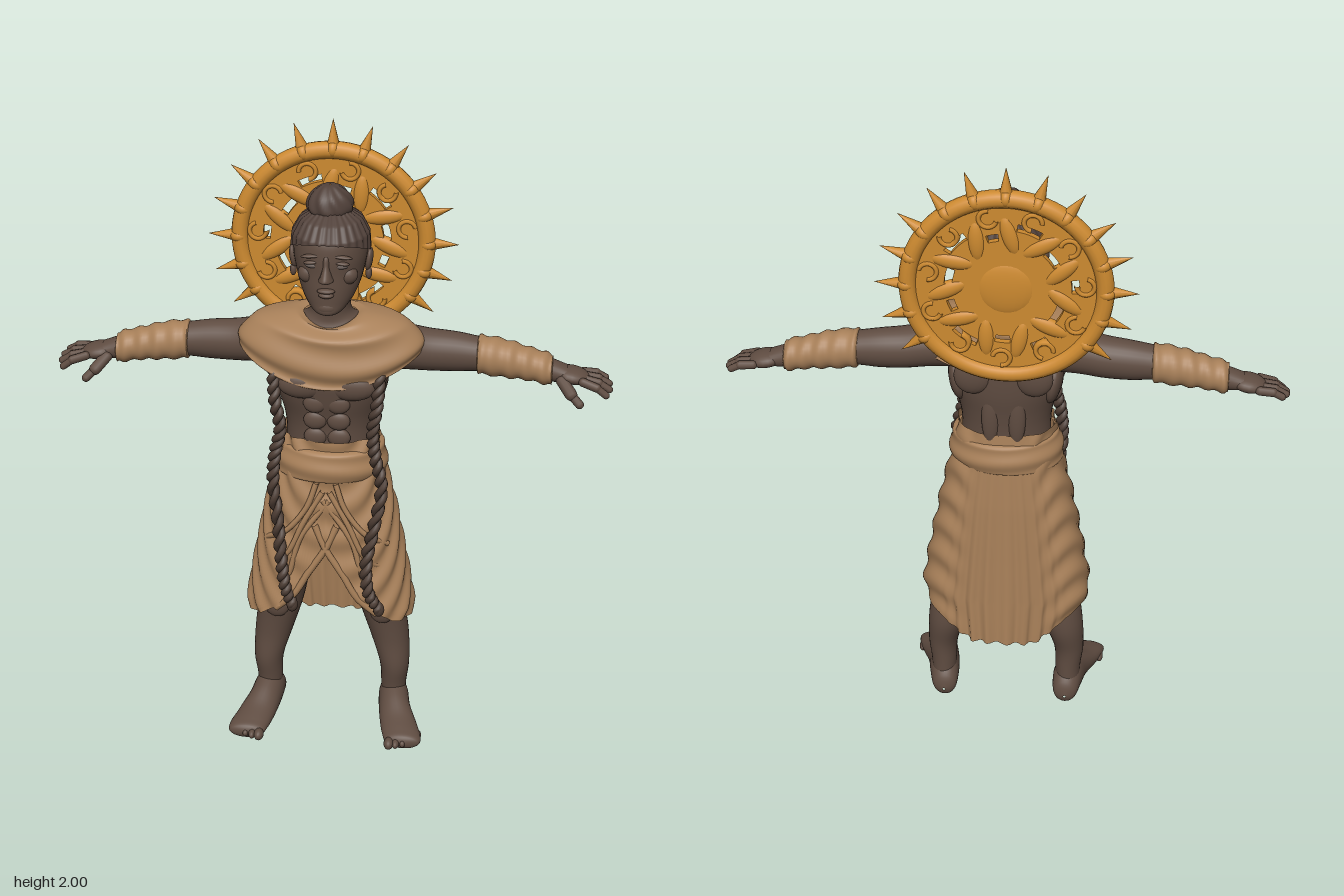
import * as THREE from 'three';

const mat = (name, color, side = THREE.FrontSide) => {
  const m = new THREE.MeshStandardMaterial({ color, side });
  m.name = name;
  return m;
};
const skin = mat('brown skin', 0x5f4c41);
const hair = mat('dark hair', 0x51413a);
const rope = mat('dark rope', 0x4c3c33);
const eye = mat('eye grey', 0x6e625c);
const cloth = mat('tan cloth', 0xa88059, THREE.DoubleSide);
const gold = mat('gold', 0xcd8a30);

const V = (p) => new THREE.Vector3(...p);
const TAU = Math.PI * 2;
const pw = (s, e) => Math.sign(s) * Math.abs(s) ** e;

function add(parent, name, geo, material) {
  const m = new THREE.Mesh(geo, material);
  m.name = name;
  parent.add(m);
  return m;
}

// Closed-around surface: u runs round, v runs along
function surface(fn, nu, nv) {
  const pos = [], idx = [];
  for (let j = 0; j <= nv; j++)
    for (let i = 0; i < nu; i++) pos.push(...fn((i / nu) * TAU, j / nv));
  for (let j = 0; j < nv; j++)
    for (let i = 0; i < nu; i++) {
      const a = j * nu + i, b = j * nu + (i + 1) % nu;
      idx.push(a, b, b + nu, a, b + nu, a + nu);
    }
  const g = new THREE.BufferGeometry();
  g.setAttribute('position', new THREE.Float32BufferAttribute(pos, 3));
  g.setIndex(idx);
  g.computeVertexNormals();
  return g;
}

// Smooth value between rows, t in 0..1
function spline(rows, t) {
  const n = rows.length - 1, i = Math.min(Math.floor(t * n), n - 1), f = t * n - i;
  const r = (k) => rows[Math.max(0, Math.min(n, k))];
  return rows[0].map((_, c) => {
    const [a, b, d, e] = [r(i - 1)[c], r(i)[c], r(i + 1)[c], r(i + 2)[c]];
    return b + 0.5 * f * (d - a + f * (2 * a - 5 * b + 4 * d - e + f * (3 * (b - d) + e - a)));
  });
}

// Linear lookup by the first column
function lookup(rows, key) {
  let i = 0;
  while (i < rows.length - 2 && key > rows[i + 1][0]) i++;
  const f = THREE.MathUtils.clamp((key - rows[i][0]) / (rows[i + 1][0] - rows[i][0]), 0, 1);
  return rows[i].map((v, c) => v + (rows[i + 1][c] - v) * f);
}

// Elliptical cross-sections along axis k; row = [pos, c1, c2, r1, r2] in cyclic axis order
function loft(k, rows, ripple = () => 0, nu = 28, nv = 36) {
  return surface((a, v) => {
    const [s, c1, c2, r1, r2] = spline(rows, v), q = ripple(a, v), p = [0, 0, 0];
    p[k] = s;
    p[(k + 1) % 3] = c1 + Math.max(0.001, r1 + q) * Math.cos(a);
    p[(k + 2) % 3] = c2 + Math.max(0.001, r2 + q) * Math.sin(a);
    p[1] = Math.max(p[1], 0.002);
    return p;
  }, nu, nv);
}

function ball(parent, name, p, r, material, rotZ = 0) {
  const m = add(parent, name, new THREE.SphereGeometry(1, 20, 14), material);
  m.position.set(...p);
  m.scale.set(...r);
  m.rotation.z = rotZ;
  return m;
}

function limb(parent, name, a, b, r, material) {
  const d = V(b).sub(V(a));
  const m = add(parent, name, new THREE.CapsuleGeometry(r, d.length(), 5, 10), material);
  m.position.copy(V(a)).addScaledVector(d, 0.5);
  m.quaternion.setFromUnitVectors(new THREE.Vector3(0, 1, 0), d.normalize());
}

const tube = (pts, r, n = 40) => new THREE.TubeGeometry(new THREE.CatmullRomCurve3(pts.map(V)), n, r, 8);

function buildArm() {
  const g = new THREE.Group();
  add(g, 'arm', loft(0, [[.1, 1.33, -.03, .07, .07], [.22, 1.33, -.04, .07, .07], [.3, 1.32, -.05, .066, .062],
    [.38, 1.315, -.055, .062, .056], [.46, 1.31, -.055, .053, .05], [.56, 1.295, -.055, .05, .048],
    [.67, 1.27, -.055, .036, .038], [.72, 1.262, -.055, .024, .036]]), skin);
  add(g, 'forearmWrap', loft(0, [[.445, 1.312, -.055, .05, .05], [.455, 1.31, -.055, .06, .058], [.53, 1.3, -.055, .059, .056],
    [.6, 1.287, -.055, .052, .051], [.665, 1.272, -.055, .048, .05], [.675, 1.27, -.055, .034, .036]],
    (a, v) => .003 * Math.sin(v * 44 + Math.sin(a) * 1.5), 28, 64), cloth);
  ball(g, 'palm', [.735, 1.257, -.055], [.055, .025, .048], skin, -.15);
  for (let i = 0; i < 4; i++) {
    const z = -.093 + i * .026, len = [.85, 1, 1.02, .9][i];
    const knuckle = [.768, 1.252, z], mid = [.768 + .048 * len, 1.25 - i * .004, z * 1.1 + .008];
    limb(g, 'finger', knuckle, mid, .0135, skin);
    limb(g, 'fingertip', mid, [mid[0] + .032 * len, 1.236 - i * .007, mid[2]], .0115, skin);
  }
  limb(g, 'thumb', [.705, 1.25, -.025], [.735, 1.22, .01], .019, skin);
  limb(g, 'thumbTip', [.735, 1.22, .01], [.762, 1.195, .024], .0135, skin);
  return g;
}

function buildLeg() {
  const g = new THREE.Group();
  add(g, 'leg', loft(1, [[.04, -.04, .205, .045, .038], [.12, -.035, .205, .048, .041], [.2, -.03, .207, .057, .048],
    [.3, -.04, .19, .067, .062], [.42, -.03, .165, .073, .073], [.55, -.01, .145, .085, .08], [.8, 0, .1, .1, .09]]), skin);
  ball(g, 'kneecap', [.17, .43, .035], [.042, .05, .02], skin);
  add(g, 'foot', loft(2, [[-.105, .2, .035, .004, .004], [-.09, .2, .045, .036, .04], [-.04, .205, .065, .048, .065],
    [.03, .215, .055, .052, .058], [.1, .235, .038, .06, .04], [.155, .25, .03, .062, .029],
    [.185, .255, .025, .052, .022], [.195, .255, .023, .004, .004]]), skin);
  for (let i = 0; i < 5; i++)
    ball(g, 'toe', [.212 + i * .022, .023, .192 - i * i * .0035], [i ? .012 : .016, i ? .015 : .019, .024], skin);
  return g;
}

function buildHead(parent) {
  const g = new THREE.Group();
  g.name = 'head';
  parent.add(g);
  // [y, z centre, x centre, z radius, x radius]
  const rows = [[1.478, .075, 0, .008, .006], [1.487, .066, 0, .044, .04], [1.52, .04, 0, .072, .07], [1.56, .018, 0, .095, .09],
    [1.61, .002, 0, .11, .104], [1.66, -.003, 0, .117, .112], [1.71, -.007, 0, .114, .108],
    [1.75, -.014, 0, .09, .085], [1.775, -.018, 0, .045, .045], [1.78, -.018, 0, .002, .002]];
  add(g, 'skull', loft(1, rows, undefined, 36, 48), skin);
  // Combed hair above the hairline
  add(g, 'hair', surface((a, v) => {
    const f = Math.cos(a), base = f > 0 ? 1.655 + .05 * f : 1.655 + .115 * f;
    const y = base + (1.779 - base) * v, [, cz, , rz, rx] = lookup(rows, y);
    const q = .007 + .0025 * Math.sin(a * 26);
    return [(rx + q) * Math.sin(a), y + .005, cz + (rz + q) * f];
  }, 156, 24), hair);
  const bun = add(g, 'topKnot', loft(1, [[1.755, -.024, -.005, .04, .04], [1.768, -.024, -.005, .062, .064], [1.79, -.025, -.005, .066, .07],
    [1.82, -.025, -.005, .056, .056], [1.845, -.025, -.005, .026, .026], [1.848, -.025, -.005, .002, .002]],
    (a, v) => .003 * Math.sin(a * 9 + v * 9) * Math.sin(v * Math.PI), 64, 24), hair);
  bun.position.y = .002;
  const tie = add(g, 'hairTie', new THREE.TorusGeometry(.05, .011, 8, 28), hair);
  tie.position.set(-.004, 1.766, -.024);
  tie.rotation.x = Math.PI / 2;
  // Face
  add(g, 'nose', loft(1, [[1.594, .112, 0, .004, .004], [1.6, .116, 0, .028, .022], [1.612, .114, 0, .034, .018],
    [1.64, .108, 0, .018, .01], [1.67, .103, 0, .014, .01], [1.685, .1, 0, .002, .002]], undefined, 16, 18), skin);
  ball(g, 'upperLip', [0, 1.567, .115], [.027, .008, .014], skin);
  ball(g, 'lowerLip', [0, 1.552, .111], [.023, .009, .015], skin);
  ball(g, 'chin', [0, 1.507, .094], [.032, .024, .02], skin);
  for (const s of [-1, 1]) {
    ball(g, 'eye', [s * .045, 1.643, .103], [.02, .008, .007], eye, s * .1);
    ball(g, 'eyelid', [s * .045, 1.652, .102], [.024, .006, .01], skin, -s * .12);
    ball(g, 'brow', [s * .046, 1.672, .102], [.032, .006, .01], skin, -s * .1);
    ball(g, 'cheek', [s * .058, 1.605, .07], [.032, .03, .028], skin);
    ball(g, 'ear', [s * .114, 1.625, -.012], [.012, .038, .024], skin, -s * .12);
    ball(g, 'earlobe', [s * .114, 1.582, -.006], [.01, .02, .012], skin);
  }
}

function buildTorso(g) {
  add(g, 'torso', loft(1, [[.92, -.01, 0, .105, .145], [1.05, -.012, 0, .105, .138], [1.12, -.012, 0, .11, .145], [1.2, -.008, 0, .125, .168],
    [1.28, -.005, 0, .13, .18], [1.36, -.02, 0, .11, .18], [1.42, -.02, 0, .075, .12], [1.455, -.012, 0, .062, .066],
    [1.52, 0, 0, .06, .06], [1.58, 0, 0, .06, .06]], undefined, 40, 48), skin);
  for (const s of [-1, 1]) {
    for (let i = 0; i < 3; i++) ball(g, 'abdominal', [s * .036, 1.07 + i * .06, .088 + i * .008], [.036, .031, .016], skin);
    ball(g, 'chestMuscle', [s * .075, 1.25, .1], [.075, .045, .03], skin);
    ball(g, 'backMuscle', [s * .04, 1.12, -.11], [.028, .1, .018], skin);
    ball(g, 'shoulderBlade', [s * .09, 1.27, -.115], [.06, .065, .026], skin, s * .4);
    ball(g, 'sideMuscle', [s * .145, 1.22, -.03], [.03, .08, .07], skin, -s * .15);
  }
  // Draped mantle over the shoulders: [x radius, z radius, height share]
  const rows = [[.268, .128, 0], [.284, .143, .08], [.28, .142, .36], [.24, .135, .75], [.17, .112, .93], [.105, .086, 1], [.085, .072, .95]];
  add(g, 'mantle', surface((a, v) => {
    const f = Math.cos(a), front = Math.max(f, 0), [rx, rz, h] = spline(rows, v);
    const hem = 1.335 - (f > 0 ? .09 : .05) * f * f, neck = 1.455 - .025 * front * front;
    const q = (.002 + .005 * Math.abs(f)) * Math.sin(v * 24 + .7 * Math.sin(2 * a));
    return [(rx + q) * Math.sin(a), hem + (neck - hem) * h, (rz + q) * f - .008];
  }, 72, 48), cloth);
}

function buildSkirt(g) {
  const girth = [[.28, .172, .24], [.45, .16, .268], [.6, .15, .243], [.8, .138, .205], [.95, .125, .168], [1.07, .112, .148]];
  const hem = [[0, .7], [8, .63], [16, .555], [26, .49], [50, .43], [90, .41], [130, .37], [150, .325], [160, .302], [180, .3]];
  // Wrapped skirt, open in front, with a pleated fan behind
  add(g, 'skirt', surface((a, v) => {
    const turn = Math.PI - Math.abs(a - Math.PI), low = lookup(hem, THREE.MathUtils.radToDeg(turn))[1];
    const y = low + (1.06 - low) * v, [, rz, rx] = lookup(girth, y);
    const fan = THREE.MathUtils.smoothstep(turn, 2.3, 2.8);
    const drape = .005 * Math.sin(58 * (y + .16 * Math.cos(turn * 1.5)) + Math.sin(a) * 2) * (1 - fan);
    const q = drape + .009 * fan * (1 - v) * Math.sin(a * 34);
    return [(rx + q) * pw(Math.sin(a), .85), y, (rz + q) * pw(Math.cos(a), .85) - .008];
  }, 180, 60), cloth);
  add(g, 'waistSash', loft(1, [[.925, -.008, 0, .12, .165], [.935, -.006, 0, .139, .178], [.975, -.006, 0, .14, .176],
    [1.015, -.006, 0, .132, .166], [1.03, -.008, 0, .11, .15]], (a, v) => .003 * Math.sin(v * 17 + Math.sin(a)), 48, 24), cloth);
  // Folds sweeping over the front and along the opening
  for (const s of [-1, 1]) {
    for (let i = 0; i < 3; i++)
      add(g, 'frontFold', tube([[s * (.03 - i * .02), .925 - i * .03, .122], [s * (.06 + i * .01), .84 - i * .055, .128],
        [s * .125, .75 - i * .085, .12], [s * .19, .7 - i * .09, .076]], .009), cloth);
    add(g, 'openingFold', tube([[-s * .035, .78, .128], [0, .7, .136], [s * .055, .61, .139], [s * .1, .53, .138], [s * .16, .465, .12]], .011), cloth);
  }
}

function buildRopes(g) {
  const paths = [
    [[.16, 1.29, .09], [.155, 1.2, .112], [.142, 1.1, .108], [.152, 1.02, .118], [.172, .92, .118], [.15, .78, .125], [.128, .65, .137], [.138, .55, .142], [.17, .495, .142]],
    [[-.165, 1.29, .09], [-.158, 1.2, .112], [-.143, 1.1, .108], [-.158, 1.02, .118], [-.165, .92, .12], [-.15, .78, .125], [-.14, .65, .135], [-.128, .56, .142], [-.105, .495, .144]]];
  for (const p of paths) {
    const path = new THREE.CatmullRomCurve3(p.map(V));
    for (const phase of [0, Math.PI]) {
      const strand = [];
      for (let i = 0; i <= 130; i++) {
        const q = path.getPoint(i / 130), t = phase + i * .55;
        strand.push([q.x + .009 * Math.cos(t), q.y, q.z + .009 * Math.sin(t)]);
      }
      add(g, 'hangingRope', tube(strand, .012, 200), rope);
    }
    ball(g, 'ropeEnd', p[8], [.018, .024, .018], rope);
  }
}

function buildHalo(parent) {
  const g = new THREE.Group();
  g.name = 'halo';
  g.position.set(-.015, 1.613, -.18);
  parent.add(g);
  add(g, 'haloRim', new THREE.TorusGeometry(.288, .027, 14, 80), gold);
  // Pierced disc
  const disc = new THREE.Shape().absarc(0, 0, .28, 0, TAU);
  for (let i = 0; i < 11; i++) {
    const a = i * TAU / 11 + .2, r = i % 2 ? .2 : .165, w = .15 + .05 * Math.sin(i * 2.3);
    const hole = new THREE.Path();
    hole.absarc(0, 0, r + .015, a - w, a + w, false);
    hole.absarc(0, 0, r - .008, a + w, a - w, true);
    hole.closePath();
    disc.holes.push(hole);
  }
  const plate = new THREE.ExtrudeGeometry(disc, { depth: .02, bevelEnabled: false, curveSegments: 48 });
  add(g, 'haloPlate', plate.translate(0, 0, -.01), gold);
  // Leaves and curls in relief
  for (let i = 0; i < 11; i++) {
    const a = (i + .5) * TAU / 11 + .2, c = Math.cos(a), s = Math.sin(a);
    ball(g, 'haloLeaf', [.175 * c, .175 * s, 0], [.07, .026, .019], gold, a + (i % 2 ? .45 : -.35));
    const curl = add(g, 'haloCurl', new THREE.TorusGeometry(.026, .009, 8, 20, 4.6), gold);
    const b = a - TAU / 22;
    curl.position.set(.232 * Math.cos(b), .232 * Math.sin(b), 0);
    curl.rotation.z = b + i;
    curl.scale.z = 1.9;
  }
  ball(g, 'haloBoss', [0, 0, 0], [.09, .09, .02], gold);
  // Spikes, left off the lowest stretch
  for (let i = -6; i <= 22 - 8; i++) {
    if (i < -2 || i > 12) continue;
    const a = i * TAU / 20;
    const spike = add(g, 'haloSpike', new THREE.ConeGeometry(.024, .1, 10), gold);
    spike.position.set(.337 * Math.cos(a), .337 * Math.sin(a), 0);
    spike.rotation.z = a - Math.PI / 2;
    ball(g, 'spikeCollar', [.292 * Math.cos(a), .292 * Math.sin(a), 0], [.028, .022, .03], gold, a);
  }
}

export function createModel() {
  const model = new THREE.Group();
  model.name = 'robedFigure';
  for (const side of [1, -1])
    for (const [name, limbGroup] of [['Arm', buildArm()], ['Leg', buildLeg()]]) {
      limbGroup.name = (side > 0 ? 'left' : 'right') + name;
      limbGroup.scale.x = side;
      model.add(limbGroup);
    }
  buildTorso(model);
  buildHead(model);
  buildSkirt(model);
  buildRopes(model);
  buildHalo(model);
  return model;
}
